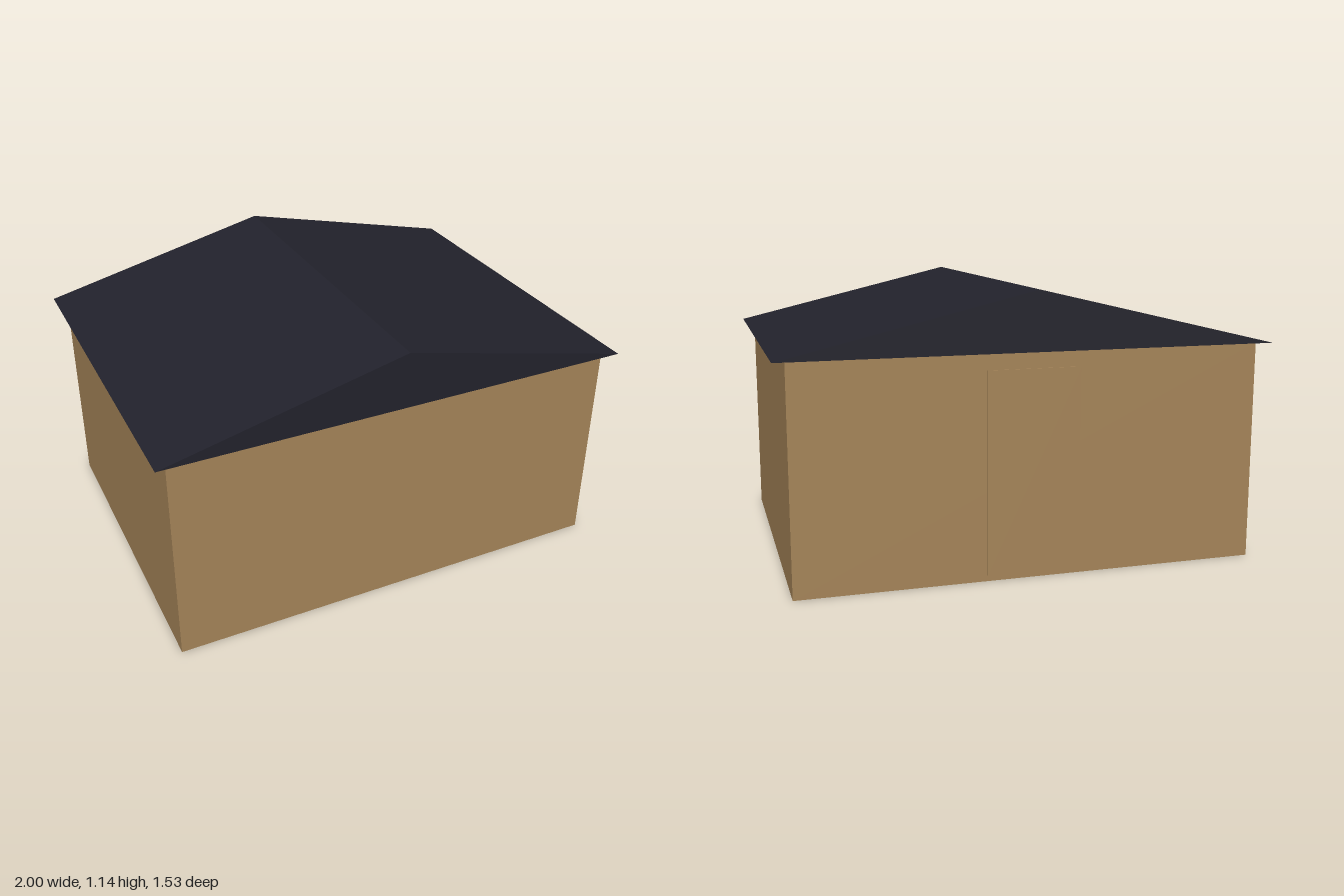
import * as THREE from 'three';

export function createModel() {
  const model = new THREE.Group();
  const tan = new THREE.MeshStandardMaterial({ color: 0xa68559 });
  tan.name = 'tan wall';
  const slate = new THREE.MeshStandardMaterial({ color: 0x22222c });
  slate.name = 'dark slate';

  const add = (name, geometry, material, x, y, z) => {
    const mesh = new THREE.Mesh(geometry, material);
    mesh.name = name;
    mesh.position.set(x, y, z);
    model.add(mesh);
  };

  const wallTop = 0.908, ridge = 1.145, wallDepth = 1.434, roofDepth = 1.526;

  // Plain box body
  add('walls', new THREE.BoxGeometry(1.9, wallTop, wallDepth), tan, 0, wallTop / 2, 0);

  // Door panel, slightly proud of the back wall
  const doorThickness = 0.005;
  add('door', new THREE.BoxGeometry(0.38, 0.815, doorThickness), tan,
    0, 0.432, -wallDepth / 2 - doorThickness / 2);

  // Solid gable roof with its ridge running front to back
  const gable = new THREE.Shape([
    new THREE.Vector2(-1, 0),
    new THREE.Vector2(1, 0),
    new THREE.Vector2(0, ridge - wallTop),
  ]);
  const roof = new THREE.ExtrudeGeometry(gable, { depth: roofDepth, bevelEnabled: false });
  add('roof', roof, slate, 0, wallTop, -roofDepth / 2);

  return model;
}
